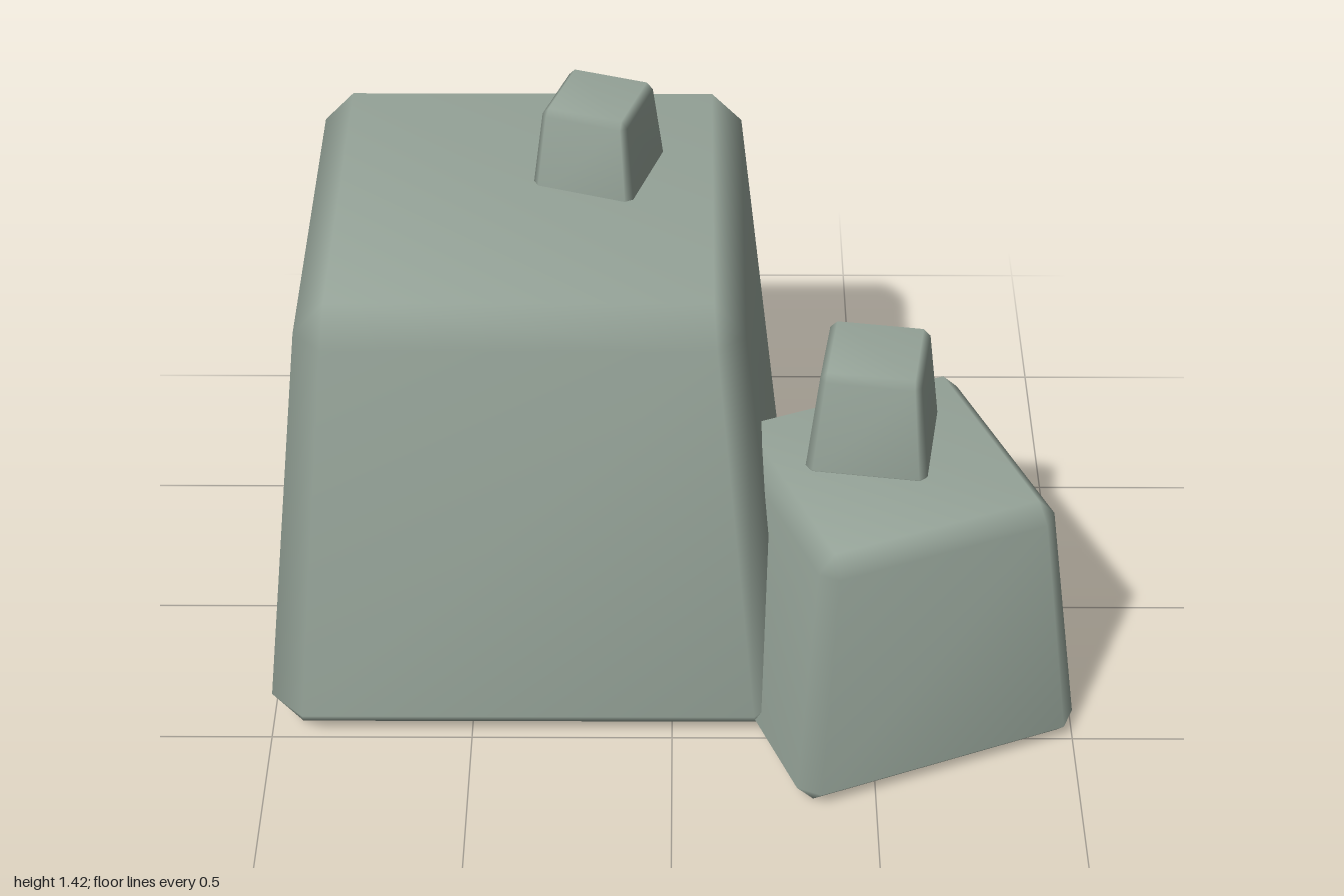
import * as THREE from 'three';

const stone = new THREE.MeshStandardMaterial({ color: 0x97a59a });
stone.name = 'greyGreenStone';

// Tapered box with chamfered edges, shared vertices for smooth shading; base at y = 0
function rockGeometry(half, height, chamfer, topScale) {
  const size = [half, height / 2, half];
  const positions = [];
  const signs = [-1, 1];
  // Three vertices per corner, one on each adjoining face
  for (const sx of signs) for (const sy of signs) for (const sz of signs) {
    const s = [sx, sy, sz];
    for (let axis = 0; axis < 3; axis++) {
      const p = s.map((v, i) => v * (size[i] - (i === axis ? 0 : chamfer)));
      const y = p[1] + height / 2;
      const k = 1 + (topScale - 1) * (y / height);
      positions.push(p[0] * k, y, p[2] * k);
    }
  }
  const id = (s, axis) => ((s[0] > 0 ? 4 : 0) + (s[1] > 0 ? 2 : 0) + (s[2] > 0 ? 1 : 0)) * 3 + axis;
  const point = (i) => new THREE.Vector3().fromArray(positions, i * 3);
  const centre = new THREE.Vector3(0, height / 2, 0);
  const index = [];
  // Adds a triangle facing away from the centre
  const tri = (a, b, c) => {
    const A = point(a);
    const n = point(b).sub(A).cross(point(c).sub(A));
    if (n.dot(A.sub(centre)) > 0) index.push(a, b, c);
    else index.push(a, c, b);
  };
  const quad = (a, b, c, d) => { tri(a, b, c); tri(a, c, d); };

  for (let a = 0; a < 3; a++) {
    const b = (a + 1) % 3, c = (a + 2) % 3;
    const corner = (va, vb, vc) => {
      const s = [];
      s[a] = va; s[b] = vb; s[c] = vc;
      return s;
    };
    // Main faces
    for (const v of signs) {
      quad(id(corner(v, -1, -1), a), id(corner(v, 1, -1), a), id(corner(v, 1, 1), a), id(corner(v, -1, 1), a));
    }
    // Chamfers along the edges parallel to this axis
    for (const vb of signs) for (const vc of signs) {
      const lo = corner(-1, vb, vc), hi = corner(1, vb, vc);
      quad(id(lo, b), id(hi, b), id(hi, c), id(lo, c));
    }
  }
  // Corner triangles
  for (let k = 0; k < 8; k++) tri(k * 3, k * 3 + 1, k * 3 + 2);

  const geometry = new THREE.BufferGeometry();
  geometry.setAttribute('position', new THREE.Float32BufferAttribute(positions, 3));
  geometry.setIndex(index);
  geometry.computeVertexNormals();
  return geometry;
}

export function createModel() {
  const group = new THREE.Group();
  group.name = 'rockPile';
  const rocks = [
    { name: 'largeRock', half: 0.651, height: 1.21, chamfer: 0.083, at: [-0.357, 0.01, -0.117], turn: 0 },
    { name: 'smallRock', half: 0.38, height: 0.708, chamfer: 0.047, at: [0.53, 0, 0.282], turn: 22 },
    { name: 'largeRockPebble', half: 0.133, height: 0.25, chamfer: 0.017, at: [-0.182, 1.175, -0.24], turn: -18.5 },
    { name: 'smallRockPebble', half: 0.15, height: 0.285, chamfer: 0.019, at: [0.488, 0.695, 0.195], turn: -8.5 },
  ];
  for (const r of rocks) {
    const mesh = new THREE.Mesh(rockGeometry(r.half, r.height, r.chamfer, 0.8), stone);
    mesh.name = r.name;
    mesh.position.set(...r.at);
    mesh.rotation.y = THREE.MathUtils.degToRad(r.turn);
    group.add(mesh);
  }
  return group;
}
